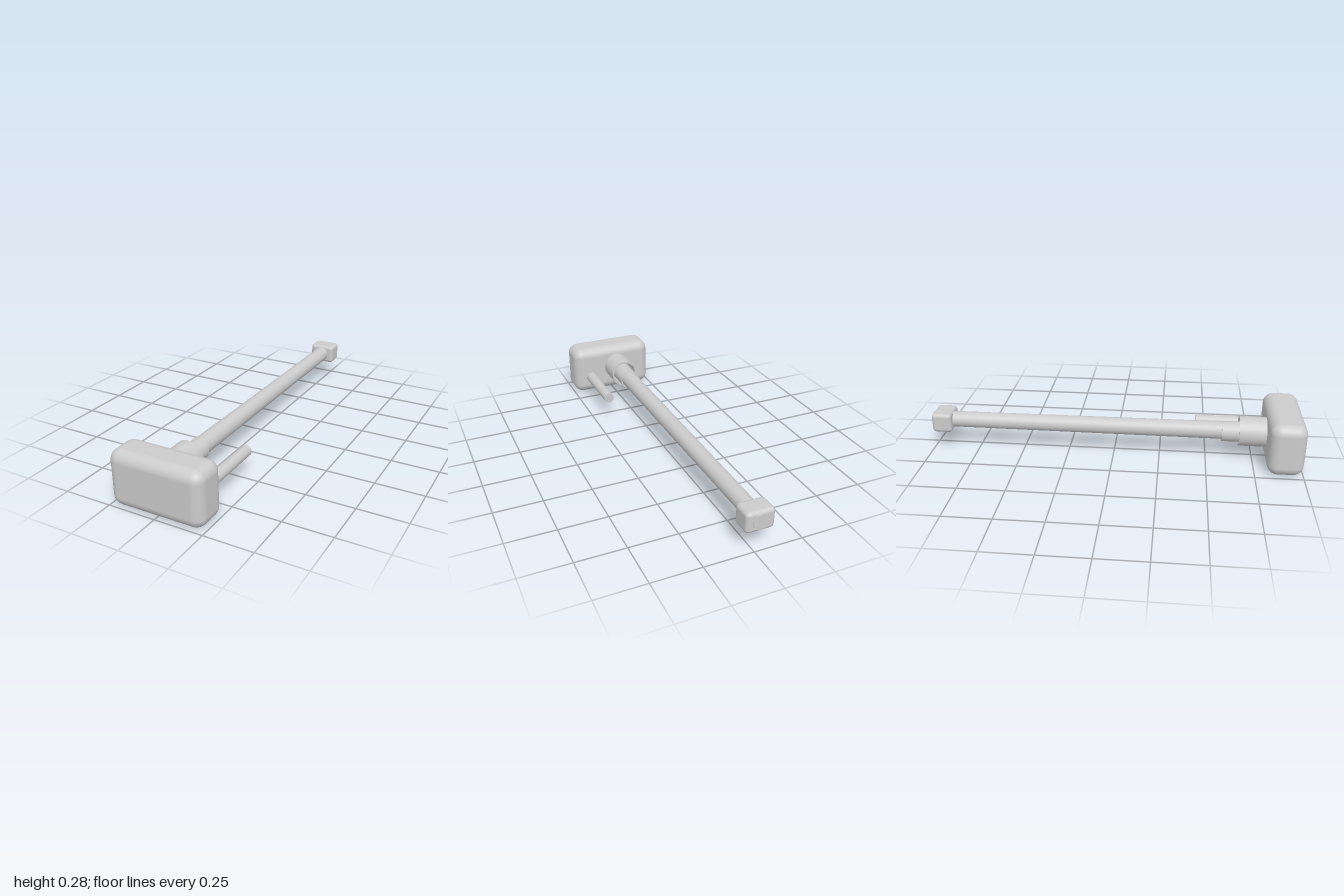
import * as THREE from 'three';
import { RoundedBoxGeometry } from 'three/addons/geometries/RoundedBoxGeometry.js';

const material = new THREE.MeshStandardMaterial({ color: 0xcccccc, side: THREE.DoubleSide });

export function createModel() {
  const model = new THREE.Group();

  function add(name, geometry, x, y, z) {
    const mesh = new THREE.Mesh(geometry, material);
    mesh.name = name;
    mesh.position.set(x, y, z);
    model.add(mesh);
  }

  // Round bar lying along z, from its back end to its front end
  function bar(name, x, y, zBack, zFront, rBack, rFront = rBack) {
    const geometry = new THREE.CylinderGeometry(rFront, rBack, zFront - zBack, 32);
    geometry.rotateX(Math.PI / 2);
    add(name, geometry, x, y, (zBack + zFront) / 2);
  }

  const axisX = -0.027, axisY = 0.155;

  // Rounded block head
  add('head', new RoundedBoxGeometry(0.49, 0.285, 0.188, 5, 0.055), 0, 0.1425, 0.906);

  // Thin-walled socket, open toward the handle
  const socketProfile = [[0.069, 0], [0.069, 0.15], [0.079, 0.15], [0.079, 0], [0.069, 0]]
    .map(([r, h]) => new THREE.Vector2(r, h));
  const parts = socketProfile.slice(0, -1).map((p, i) =>
    new THREE.LatheGeometry([p, socketProfile[i + 1]], 40));
  for (const geometry of parts) {
    geometry.rotateX(Math.PI / 2);
    add('socketWall', geometry, axisX, axisY, 0.67);
  }

  // Collar inside the socket and the long tapering handle
  bar('collar', axisX, 0.15, 0.58, 0.83, 0.054, 0.056);
  bar('handle', axisX, axisY, -0.93, 0.83, 0.043, 0.048);

  // End block with a round plug showing in its back face
  add('endBlock', new RoundedBoxGeometry(0.147, 0.108, 0.108, 4, 0.02), axisX, axisY, -0.942);
  bar('endPlug', axisX, axisY, -1, -0.93, 0.041);

  // Separate side rod next to the handle
  bar('sideRod', 0.156, 0.122, 0.445, 0.775, 0.029, 0.031);

  return model;
}
